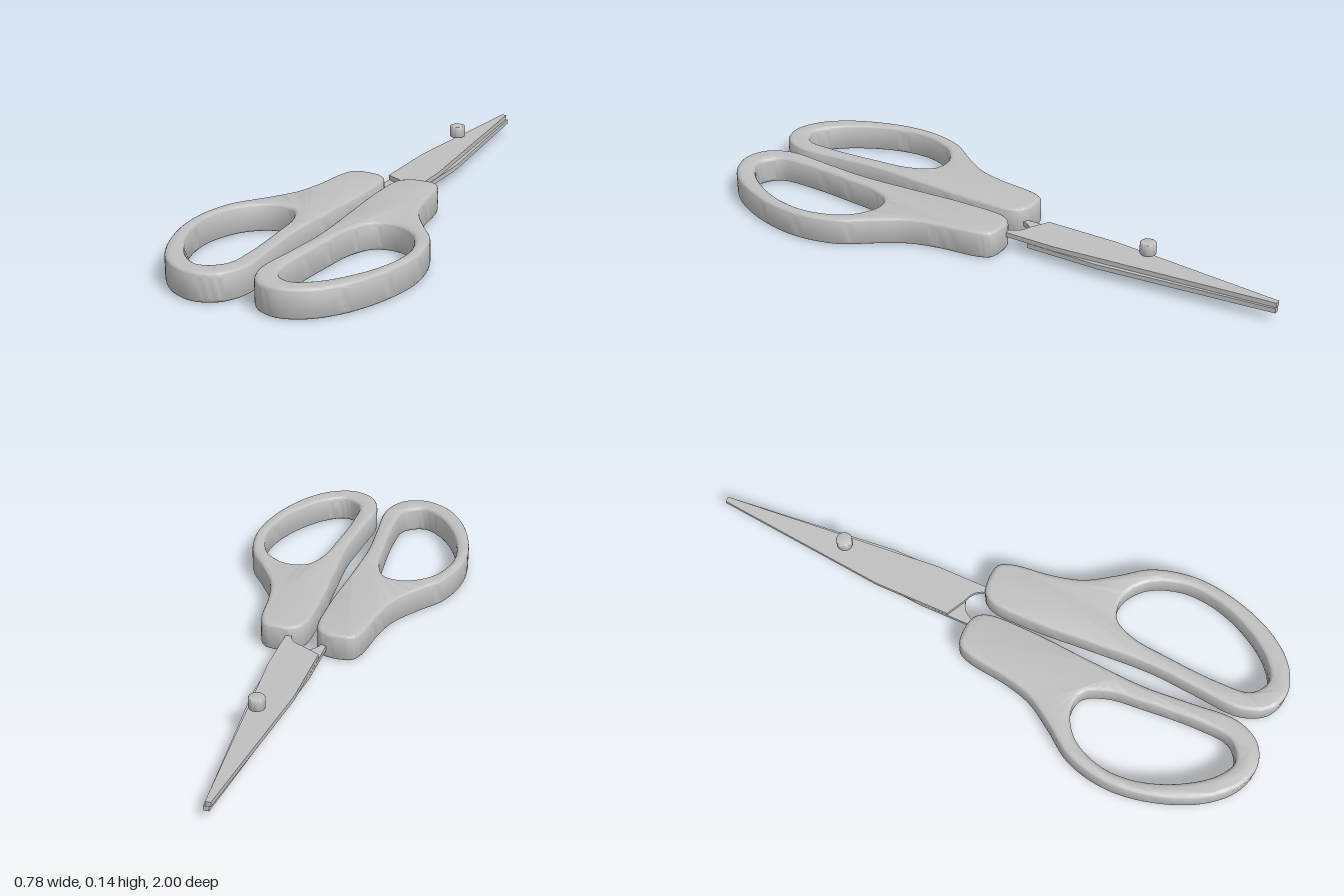
import * as THREE from 'three';
import { toCreasedNormals } from 'three/addons/utils/BufferGeometryUtils.js';

const grey = new THREE.MeshStandardMaterial({ color: 0xbfbfbf });
grey.name = 'plain grey';

// Smooth closed loop through [x, z] points, mirrored by side
function loop(points, side, divisions) {
  const curve = new THREE.CatmullRomCurve3(
    points.map(([x, z]) => new THREE.Vector3(x * side, z, 0)), true, 'centripetal');
  return curve.getPoints(divisions).slice(0, -1).map(p => new THREE.Vector2(p.x, p.y));
}

// Lay an extruded plan flat, with its underside at y = bottom
function flatten(geometry, bottom) {
  geometry.rotateX(Math.PI / 2);
  geometry.computeBoundingBox();
  geometry.translate(0, bottom - geometry.boundingBox.min.y, 0);
  return geometry;
}

// Plan of the +x handle
const handleOutline = [
  [0.115, -0.062], [0.155, -0.052], [0.177, -0.01], [0.197, 0.13], [0.225, 0.23],
  [0.285, 0.325], [0.355, 0.425], [0.388, 0.57], [0.367, 0.73], [0.3, 0.885],
  [0.22, 0.968], [0.135, 0.995], [0.06, 0.965], [0.018, 0.88], [0.026, 0.72],
  [0.037, 0.56], [0.027, 0.35], [0.014, 0.14], [0.021, -0.015], [0.05, -0.052],
];
const fingerHole = [
  [0.215, 0.374], [0.145, 0.385], [0.105, 0.46], [0.09, 0.58], [0.078, 0.77],
  [0.09, 0.885], [0.15, 0.924], [0.22, 0.885], [0.3, 0.77], [0.343, 0.64],
  [0.342, 0.53], [0.295, 0.425],
];

function handle(side) {
  const shape = new THREE.Shape(loop(handleOutline, side, 120));
  shape.holes.push(new THREE.Path(loop(fingerHole, side, 80)));
  const bevel = 0.015;
  const geometry = new THREE.ExtrudeGeometry(shape, {
    depth: 0.096 - 2 * bevel, bevelEnabled: true, bevelThickness: bevel,
    bevelSize: bevel, bevelOffset: -bevel, bevelSegments: 4,
  });
  return new THREE.Mesh(toCreasedNormals(flatten(geometry, 0.001), 0.7), grey);
}

// Blade whose tang runs into the handle on the given side
function blade(side, bottom) {
  const mid = 0.005;
  const x = v => mid + side * v;
  const shape = new THREE.Shape();
  shape.moveTo(x(-0.07), -0.14);
  shape.lineTo(x(-0.07), -0.4);
  shape.lineTo(x(-0.012), -1);
  shape.lineTo(x(0.006), -1);
  shape.lineTo(x(0.048), -0.5);
  shape.lineTo(x(0.07), -0.24);
  shape.lineTo(x(0.07), -0.06);
  shape.lineTo(x(0.1), 0.06);
  shape.lineTo(x(0.055), 0.06);
  shape.lineTo(x(0.052), -0.05);
  shape.quadraticCurveTo(x(0.04), -0.095, x(0), -0.103);
  shape.closePath();
  const geometry = new THREE.ExtrudeGeometry(shape, { depth: 0.016, bevelEnabled: false });
  return new THREE.Mesh(flatten(geometry, bottom), grey);
}

// Pivot pin with softly rounded rims
function pin() {
  const r = 0.027, h = 0.041, b = 0.004;
  const profile = [[0, 0], [r - b, 0], [r - b * 0.3, b * 0.3], [r, b],
    [r, h - b], [r - b * 0.3, h - b * 0.3], [r - b, h], [0, h]]
    .map(([px, py]) => new THREE.Vector2(px, py));
  const mesh = new THREE.Mesh(toCreasedNormals(new THREE.LatheGeometry(profile, 32), 0.8), grey);
  mesh.position.set(0.007, 0.102, -0.55);
  return mesh;
}

export function createModel() {
  const model = new THREE.Group();
  model.name = 'scissors';
  const parts = {
    leftHandle: handle(1),
    rightHandle: handle(-1),
    upperBlade: blade(1, 0.049),
    lowerBlade: blade(-1, 0.032),
    pivotPin: pin(),
  };
  for (const [name, mesh] of Object.entries(parts)) {
    mesh.name = name;
    model.add(mesh);
  }
  return model;
}
